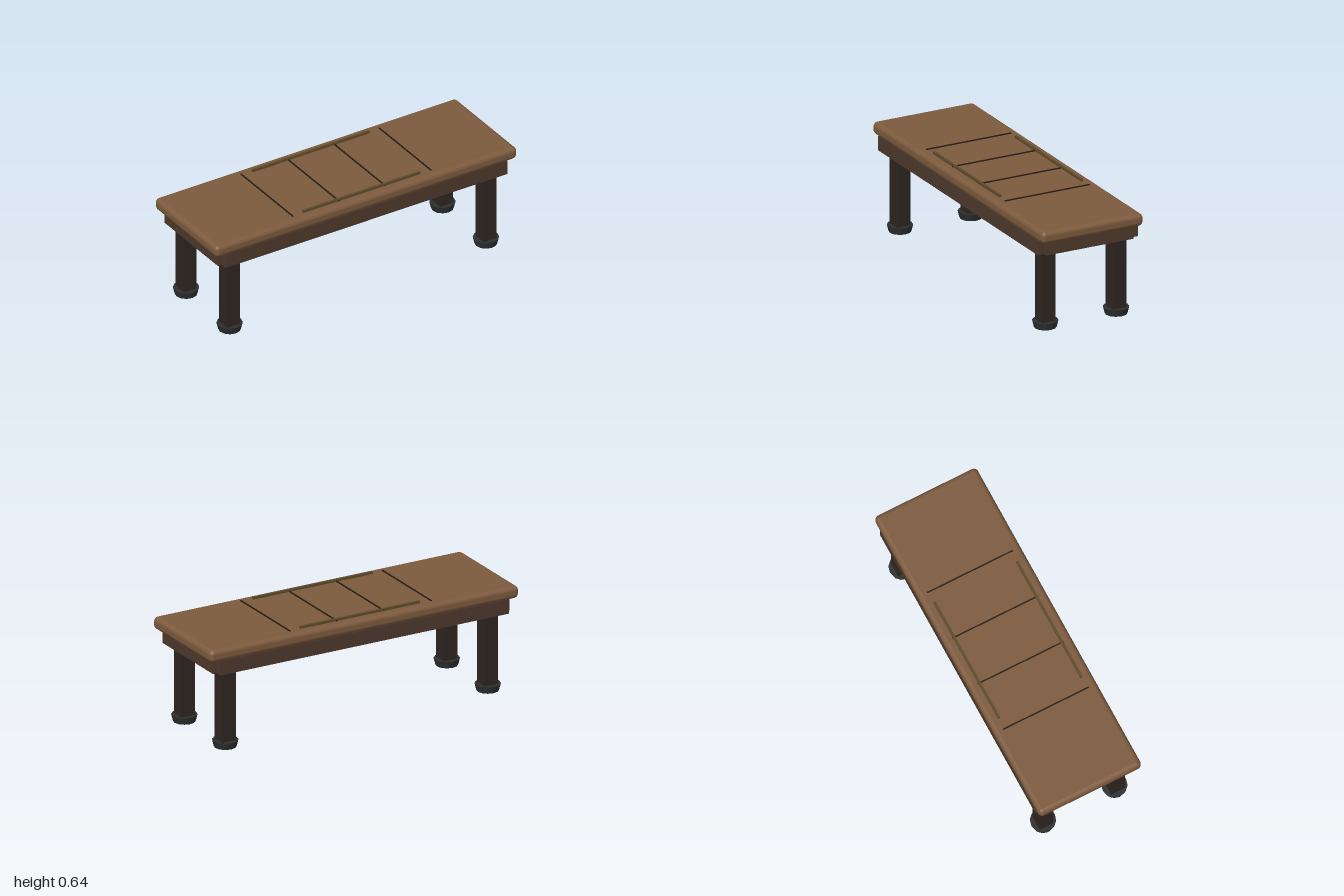
import * as THREE from 'three';
import { RoundedBoxGeometry } from 'three/addons/geometries/RoundedBoxGeometry.js';

const paint = (color) => new THREE.MeshStandardMaterial({ color });

export function createModel() {
  const model = new THREE.Group();
  model.name = 'bench';

  const topWood = paint(0x7d5b3e);
  const apronWood = paint(0x4e392c);
  const legWood = paint(0x2e2520);
  const blockWood = paint(0x7a5836);
  const rubber = paint(0x2d2f2e);
  const grooveDark = paint(0x2a1e15);
  const brass = paint(0x5f4b2a);

  const add = (name, geometry, material, x, y, z, parent = model) => {
    const mesh = new THREE.Mesh(geometry, material);
    mesh.name = name;
    mesh.position.set(x, y, z);
    parent.add(mesh);
    return mesh;
  };
  const box = (w, h, d) => new THREE.BoxGeometry(w, h, d);

  // Soft-edged slab
  add('top', new RoundedBoxGeometry(2, 0.074, 0.644, 5, 0.027), topWood, 0, 0.587, 0);

  for (const s of [-1, 1]) {
    // Apron: long and short rails, leaving a small notch at each corner
    add('longApronRail', box(1.87, 0.086, 0.04), apronWood, 0, 0.513, s * 0.297);
    add('endApronRail', box(0.04, 0.086, 0.554), apronWood, s * 0.94, 0.513, 0);

    // Raised trim lying along the slab
    add('trimRail', box(0.776, 0.014, 0.014), brass, 0, 0.631, s * 0.26);

    // Thin cross strips
    for (const x of [0.153, 0.458]) {
      add('crossStrip', box(0.007, 0.008, 0.54), grooveDark, s * x, 0.626, 0);
    }

    // Legs with mounting block and flared foot
    for (const t of [-1, 1]) {
      const leg = new THREE.Group();
      leg.name = 'leg';
      leg.position.set(s * 0.85, 0, t * 0.225);
      model.add(leg);
      add('post', box(0.086, 0.535, 0.086), legWood, 0, 0.2875, 0, leg);
      add('mountingBlock', box(0.114, 0.038, 0.114), blockWood, 0, 0.481, 0, leg);
      add('foot', new THREE.CylinderGeometry(0.074, 0.064, 0.041, 12), rubber, 0, 0.0205, 0, leg);
    }
  }
  return model;
}
